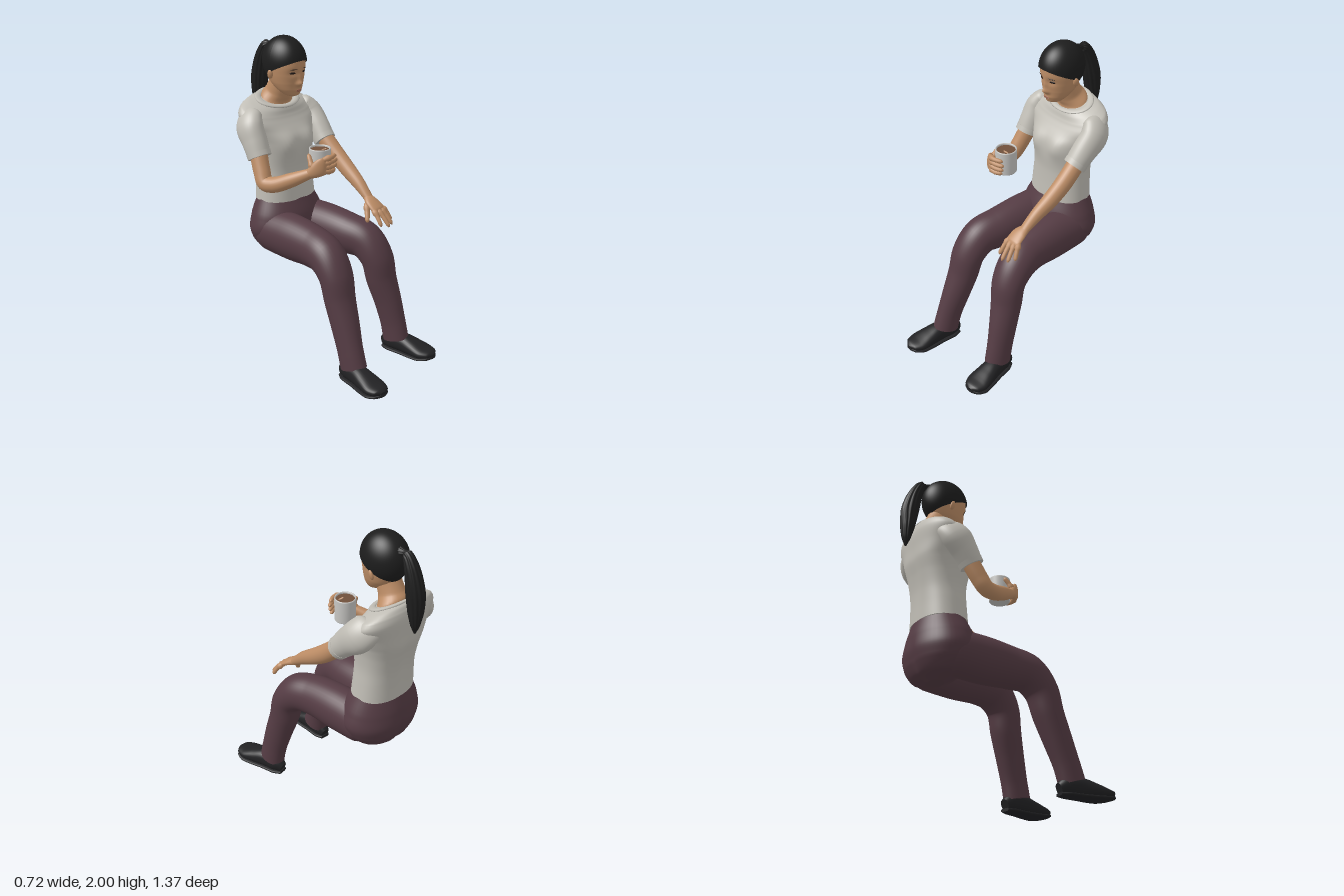
import * as THREE from 'three';

const paint = (name, color, side = THREE.FrontSide) => {
  const m = new THREE.MeshStandardMaterial({ color, side });
  m.name = name;
  return m;
};

const bump = (d, w) => Math.exp(-(d * d) / (w * w));
const X = new THREE.Vector3(1, 0, 0), Y = new THREE.Vector3(0, 1, 0);

// Smooth body through elliptical rings [x, y, z, halfWidth, halfDepth], square to their path or kept level
function loft(rings, { seg = 28, steps = 6, ref = X, power = 2, level = false, warp } = {}) {
  const path = new THREE.CatmullRomCurve3(rings.map(r => new THREE.Vector3(r[0], r[1], r[2])));
  const size = new THREE.CatmullRomCurve3(rings.map(r => new THREE.Vector3(r[3], r[4], 0)));
  const n = (rings.length - 1) * steps, pos = [], idx = [];
  const soft = v => Math.sign(v) * Math.abs(v) ** (2 / power);
  for (let i = 0; i <= n; i++) {
    const t = i / n, c = path.getPoint(t), s = size.getPoint(t), T = level ? Y : path.getTangent(t);
    const U = ref.clone().addScaledVector(T, -T.dot(ref)).normalize();
    const V = T.clone().cross(U);
    for (let j = 0; j < seg; j++) {
      const a = j / seg * Math.PI * 2;
      const p = c.clone().addScaledVector(U, soft(Math.cos(a)) * s.x).addScaledVector(V, soft(Math.sin(a)) * s.y);
      if (warp) warp(p, c, a, t);
      pos.push(p.x, p.y, p.z);
    }
  }
  for (let i = 0; i < n; i++) for (let j = 0; j < seg; j++) {
    const k = (j + 1) % seg, a = i * seg + j, b = i * seg + k;
    idx.push(a, b, a + seg, b, b + seg, a + seg);
  }
  // End caps with their own corners so rims stay crisp
  for (const end of [0, n]) {
    const start = pos.length / 3, mid = [0, 0, 0];
    for (let j = 0; j < seg; j++) for (let q = 0; q < 3; q++) {
      const v = pos[(end * seg + j) * 3 + q];
      pos.push(v);
      mid[q] += v / seg;
    }
    pos.push(...mid);
    for (let j = 0; j < seg; j++) {
      const a = start + j, b = start + (j + 1) % seg;
      idx.push(start + seg, ...(end ? [a, b] : [b, a]));
    }
  }
  const g = new THREE.BufferGeometry();
  g.setAttribute('position', new THREE.Float32BufferAttribute(pos, 3));
  g.setIndex(idx);
  g.computeVertexNormals();
  return g;
}

export function createModel() {
  const skin = paint('skin', 0xbd8d66), hair = paint('hair', 0x1d1d1d, THREE.DoubleSide);
  const shirt = paint('shirt cloth', 0xc0bdb5), trousers = paint('trouser cloth', 0x553c44);
  const leather = paint('shoe leather', 0x222224), china = paint('cup china', 0xc8c7c4, THREE.DoubleSide);
  const coffee = paint('coffee', 0x70503b), foam = paint('coffee foam', 0xc79c7c);
  const lip = paint('lips', 0xa06a55), dark = paint('eyes and brows', 0x231a17);

  const model = new THREE.Group();
  const add = (name, geo, mat) => {
    const m = new THREE.Mesh(geo, mat);
    m.name = name;
    model.add(m);
    return m;
  };
  const blob = (name, mat, p, s) => {
    const m = add(name, new THREE.SphereGeometry(1, 20, 14), mat);
    m.position.set(...p);
    m.scale.set(...s);
    return m;
  };

  // Shirt body: neckline drops at the front, chest and spine are shaped
  const neckTilt = (p, c) => {
    p.y -= (p.z - c.z) * 0.42 * THREE.MathUtils.smoothstep(c.y, 1.38, 1.58);
  };
  add('shirtBody', loft([
    [-0.013, 0.972, -0.405, 0.207, 0.15], [-0.014, 1.08, -0.41, 0.198, 0.147], [-0.014, 1.17, -0.415, 0.191, 0.149],
    [-0.014, 1.28, -0.422, 0.198, 0.162], [-0.014, 1.36, -0.435, 0.214, 0.167], [-0.015, 1.44, -0.452, 0.25, 0.152],
    [-0.016, 1.51, -0.468, 0.287, 0.138], [-0.016, 1.552, -0.473, 0.266, 0.122], [-0.013, 1.582, -0.472, 0.205, 0.108],
    [-0.01, 1.6, -0.468, 0.142, 0.094],
  ], {
    seg: 56, power: 2.3, level: true, warp(p, c) {
      const x = p.x + 0.014;
      if (p.z > c.z) p.z += 0.022 * bump(Math.abs(x) - 0.09, 0.06) * bump(p.y - 1.345, 0.07);
      else p.z += 0.012 * bump(x, 0.035) * bump(p.y - 1.28, 0.2);
      neckTilt(p, c);
    },
  }), shirt);
  const collar = add('collar', new THREE.TorusGeometry(1, 0.17, 10, 48).rotateX(Math.PI / 2).scale(0.142, 0.05, 0.098), shirt);
  collar.position.set(-0.01, 1.599, -0.467);
  collar.rotation.x = 0.398;

  // Neck
  add('neck', loft([
    [-0.01, 1.585, -0.468, 0.12, 0.08], [-0.01, 1.612, -0.472, 0.105, 0.08], [-0.013, 1.65, -0.45, 0.075, 0.076],
    [-0.015, 1.72, -0.42, 0.067, 0.072], [-0.015, 1.78, -0.41, 0.06, 0.07],
  ], { level: true, warp: neckTilt }), skin);

  // Head with sockets, nose, lips and chin raised from the front
  const hx = -0.015;
  const head = add('head', loft([
    [hx, 1.634, -0.318, 0.02, 0.018], [hx, 1.645, -0.33, 0.048, 0.046], [hx, 1.68, -0.352, 0.079, 0.082],
    [hx, 1.72, -0.371, 0.098, 0.108], [hx, 1.77, -0.381, 0.109, 0.127], [hx, 1.83, -0.386, 0.114, 0.141],
    [hx, 1.88, -0.387, 0.112, 0.141], [hx, 1.94, -0.387, 0.09, 0.112], [hx, 1.985, -0.387, 0.03, 0.035],
  ], {
    seg: 80, steps: 8, level: true, warp(p, c) {
      const x = p.x - hx, ax = Math.abs(x);
      p.z += THREE.MathUtils.smoothstep(p.z - c.z, 0.01, 0.05) * (
        0.024 * bump(x, 0.016) * bump(p.y - 1.722, 0.018) + 0.012 * bump(x, 0.013) * bump(p.y - 1.755, 0.035)
        + 0.007 * bump(ax - 0.016, 0.01) * bump(p.y - 1.716, 0.012) + 0.007 * bump(x, 0.03) * bump(p.y - 1.676, 0.016)
        + 0.006 * bump(x, 0.03) * bump(p.y - 1.648, 0.014) - 0.009 * bump(ax - 0.042, 0.026) * bump(p.y - 1.787, 0.02));
    },
  }), skin);
  const ray = new THREE.Raycaster();
  const faceZ = (x, y) => {
    ray.set(new THREE.Vector3(x, y, 1), new THREE.Vector3(0, 0, -1));
    return ray.intersectObject(head)[0]?.point.z ?? -0.26;
  };
  const onFace = (name, mat, x, y, s, turn = 0, roll = 0) =>
    blob(name, mat, [hx + x, y, faceZ(hx + x, y)], s).rotation.set(0, turn, roll);
  for (const s of [1, -1]) {
    const side = s > 0 ? 'left' : 'right';
    onFace(side + 'Eye', dark, s * 0.044, 1.789, [0.021, 0.007, 0.004], s * 0.35);
    onFace(side + 'Eyebrow', dark, s * 0.045, 1.812, [0.024, 0.0025, 0.003], s * 0.4, -s * 0.08);
    blob(side + 'Ear', skin, [hx + s * 0.115, 1.776, -0.395], [0.012, 0.031, 0.019]).rotation.set(0.2, s * -0.5, -s * 0.15);
  }
  onFace('upperLip', lip, 0, 1.68, [0.026, 0.0045, 0.003]);
  onFace('lowerLip', lip, 0, 1.672, [0.022, 0.005, 0.003]);

  // Hair cap: a dome whose edge falls from the forehead to the nape
  const dome = new THREE.SphereGeometry(1, 56, 28, 0, Math.PI * 2, 0, Math.PI / 2);
  const dp = dome.attributes.position;
  for (let i = 0; i < dp.count; i++) {
    const x = dp.getX(i), z = dp.getZ(i), r = Math.hypot(x, z);
    if (r < 1e-5) continue;
    const th = Math.acos(dp.getY(i)) * (0.92 + 0.295 * (1 - z / r));
    dp.setXYZ(i, x / r * Math.sin(th), Math.cos(th), z / r * Math.sin(th));
  }
  dome.scale(0.125, 0.155, 0.152).translate(-0.017, 1.845, -0.387);
  dome.computeVertexNormals();
  add('hairCap', dome, hair);
  add('ponytail', loft([
    [-0.012, 1.92, -0.5, 0.03, 0.03], [-0.01, 1.922, -0.55, 0.03, 0.03], [-0.008, 1.855, -0.592, 0.042, 0.042],
    [-0.005, 1.72, -0.628, 0.052, 0.054], [-0.003, 1.6, -0.64, 0.046, 0.043], [0, 1.52, -0.644, 0.03, 0.026],
    [0.002, 1.465, -0.645, 0.005, 0.005],
  ], {
    seg: 48, warp(p, c, a, t) {
      p.sub(c).multiplyScalar(1 + 0.06 * Math.cos(a * 12 + t * 5)).add(c);
    },
  }), hair);

  // Sleeves with turned cuffs
  const sleeves = {
    left: [[0.14, 1.52, -0.475, 0.04, 0.07], [0.2, 1.508, -0.472, 0.062, 0.092], [0.235, 1.455, -0.435, 0.074, 0.099],
      [0.236, 1.38, -0.355, 0.073, 0.084], [0.23, 1.3, -0.28, 0.068, 0.069]],
    right: [[-0.17, 1.52, -0.475, 0.04, 0.07], [-0.23, 1.508, -0.472, 0.062, 0.092], [-0.265, 1.455, -0.443, 0.075, 0.099],
      [-0.273, 1.38, -0.395, 0.076, 0.085], [-0.279, 1.29, -0.345, 0.072, 0.072]],
  };
  for (const [side, r] of Object.entries(sleeves)) {
    add(side + 'Sleeve', loft(r, { seg: 36, steps: 8 }), shirt);
    const end = r[4], dir = end.slice(0, 3).map((v, q) => v - r[3][q]);
    const at = (f, grow) => [...[0, 1, 2].map(q => end[q] + dir[q] * f), end[3] + grow, end[4] + grow];
    add(side + 'Cuff', loft([at(-0.3, 0.005), at(-0.15, 0.004), at(0.01, 0.003)], { seg: 36 }), shirt);
  }

  // Bare arms
  add('leftArm', loft([
    [0.235, 1.34, -0.315, 0.055, 0.055], [0.24, 1.22, -0.185, 0.052, 0.056], [0.238, 1.145, -0.085, 0.048, 0.051],
    [0.23, 1.075, 0.02, 0.039, 0.041], [0.222, 1.003, 0.11, 0.031, 0.025],
  ]), skin);
  add('rightArm', loft([
    [-0.275, 1.33, -0.365, 0.055, 0.056], [-0.3, 1.21, -0.305, 0.052, 0.054], [-0.312, 1.15, -0.265, 0.05, 0.05],
    [-0.296, 1.15, -0.2, 0.047, 0.049], [-0.25, 1.19, -0.105, 0.042, 0.045], [-0.188, 1.248, 0.008, 0.027, 0.03],
  ]), skin);

  // Left hand, resting open above the thigh
  add('leftPalm', loft([
    [0.223, 1.008, 0.1, 0.031, 0.025], [0.216, 0.985, 0.145, 0.05, 0.023], [0.218, 0.955, 0.192, 0.054, 0.018], [0.219, 0.943, 0.207, 0.046, 0.011],
  ]), skin);
  const finger = (name, pts, r, ref = X) => add(name, loft(
    pts.map((p, i) => [...p, r * [1, 1, 0.85, 0.25][i], r * [1, 1, 0.85, 0.25][i]]), { seg: 12, steps: 4, ref }), skin);
  const bend = (a, b, lift) => [0, 0.45, 0.9, 1].map(f => a.map((v, q) => v + (b[q] - v) * f + (q === 1 ? lift * Math.sin(f * Math.PI) : 0)));
  [[0.18, 0.171, 0.264, 0.866], [0.206, 0.22, 0.287, 0.856], [0.234, 0.26, 0.275, 0.86], [0.258, 0.29, 0.24, 0.872]]
    .forEach(([x0, x1, z1, y1], i) => finger('leftFinger' + (i + 1), bend([x0, 0.957, 0.183], [x1, y1, z1], 0.012), 0.0145));
  finger('leftThumb', bend([0.188, 0.98, 0.125], [0.136, 0.88, 0.178], 0.01), 0.017);

  // Right hand wrapped round the front of the cup
  add('rightPalm', loft([
    [-0.195, 1.24, -0.004, 0.03, 0.027], [-0.176, 1.268, 0.036, 0.046, 0.024], [-0.148, 1.292, 0.066, 0.054, 0.018], [-0.125, 1.298, 0.076, 0.045, 0.012],
  ], { ref: Y }), skin);
  [1.343, 1.314, 1.284, 1.255].forEach((y, i) => {
    const tip = [-0.036, -0.026, -0.03, -0.042][i];
    finger('rightFinger' + (i + 1), [[-0.145, 1.3 + (y - 1.3) * 0.75, 0.066], [-0.095, y, 0.084], [tip - 0.01, y - 0.002, 0.066], [tip, y - 0.002, 0.058]], 0.0145, Y);
  });
  finger('rightThumb', [[-0.185, 1.27, 0.02], [-0.182, 1.31, 0], [-0.172, 1.345, -0.025], [-0.168, 1.355, -0.034]], 0.016);

  // Cup and coffee
  const cup = [[0, 1.225], [0.062, 1.225], [0.066, 1.231], [0.067, 1.375], [0.0655, 1.381], [0.0605, 1.381], [0.059, 1.375], [0.058, 1.24], [0, 1.24]];
  add('cup', new THREE.LatheGeometry(cup.map(p => new THREE.Vector2(...p)), 40), china).position.set(-0.09, 0, -0.013);
  add('coffeeSurface', new THREE.CylinderGeometry(0.059, 0.059, 0.006, 40), coffee).position.set(-0.09, 1.367, -0.013);
  add('foamFleck', new THREE.CylinderGeometry(1, 1, 0.003, 20).scale(0.02, 1, 0.006), foam).position.set(-0.072, 1.371, 0.005);

  // Trousers: seat and two bent legs
  add('trouserSeat', loft([
    [-0.01, 0.607, -0.42, 0.07, 0.05], [-0.01, 0.642, -0.42, 0.185, 0.118], [-0.01, 0.71, -0.405, 0.25, 0.17],
    [-0.01, 0.79, -0.395, 0.276, 0.194], [-0.012, 0.88, -0.395, 0.254, 0.183], [-0.013, 0.985, -0.405, 0.203, 0.146],
  ], {
    seg: 48, level: true, warp(p, c) {
      if (p.z < c.z) p.z += 0.015 * bump(p.x + 0.01, 0.025) * bump(p.y - 0.72, 0.12);
    },
  }), trousers);
  const legs = {
    left: [[0.118, 0.765, -0.46, 0.08, 0.1], [0.128, 0.765, -0.38, 0.132, 0.142],
      [0.138, 0.763, -0.2, 0.13, 0.148], [0.152, 0.757, 0, 0.121, 0.134], [0.178, 0.732, 0.122, 0.115, 0.122],
      [0.194, 0.64, 0.208, 0.109, 0.1], [0.206, 0.5, 0.24, 0.099, 0.096], [0.224, 0.35, 0.283, 0.083, 0.092],
      [0.236, 0.2, 0.322, 0.072, 0.088], [0.24, 0.095, 0.345, 0.07, 0.09]],
    right: [[-0.138, 0.765, -0.46, 0.08, 0.1], [-0.148, 0.765, -0.38, 0.132, 0.142],
      [-0.153, 0.763, -0.2, 0.13, 0.148], [-0.161, 0.758, 0, 0.121, 0.134], [-0.181, 0.738, 0.126, 0.116, 0.122],
      [-0.193, 0.648, 0.216, 0.111, 0.1], [-0.202, 0.5, 0.262, 0.1, 0.094], [-0.213, 0.35, 0.318, 0.086, 0.091],
      [-0.225, 0.2, 0.372, 0.073, 0.087], [-0.228, 0.095, 0.405, 0.071, 0.09]],
  };
  for (const [side, r] of Object.entries(legs)) add(side + 'TrouserLeg', loft(r, { seg: 40, steps: 8 }), trousers);

  // Shoes: upper plus a slightly wider sole; each row is [along, half width, height]
  const last = [[0, 0.03, 0.07], [0.05, 0.052, 0.11], [0.14, 0.058, 0.12], [0.22, 0.07, 0.098], [0.29, 0.077, 0.07], [0.345, 0.056, 0.048], [0.365, 0.02, 0.028]];
  for (const [side, x, z, dx, dz] of [['left', 0.235, 0.25, 0.06, 0.365], ['right', -0.225, 0.31, -0.045, 0.37]]) {
    const run = (grow, high) => last.map(([f, w, h]) => {
      const k = f / 0.365, hh = high || h;
      return [x + dx * k, hh / 2 + (high ? 0.004 : 0.01) + 0.02 * k ** 6, z + dz * k, w + grow, hh / 2];
    });
    add(side + 'Shoe', loft(run(0, 0), { seg: 32, power: 2.3 }), leather);
    add(side + 'Sole', loft(run(0.003, 0.02), { seg: 32, power: 3.5 }), leather);
  }
  return model;
}
